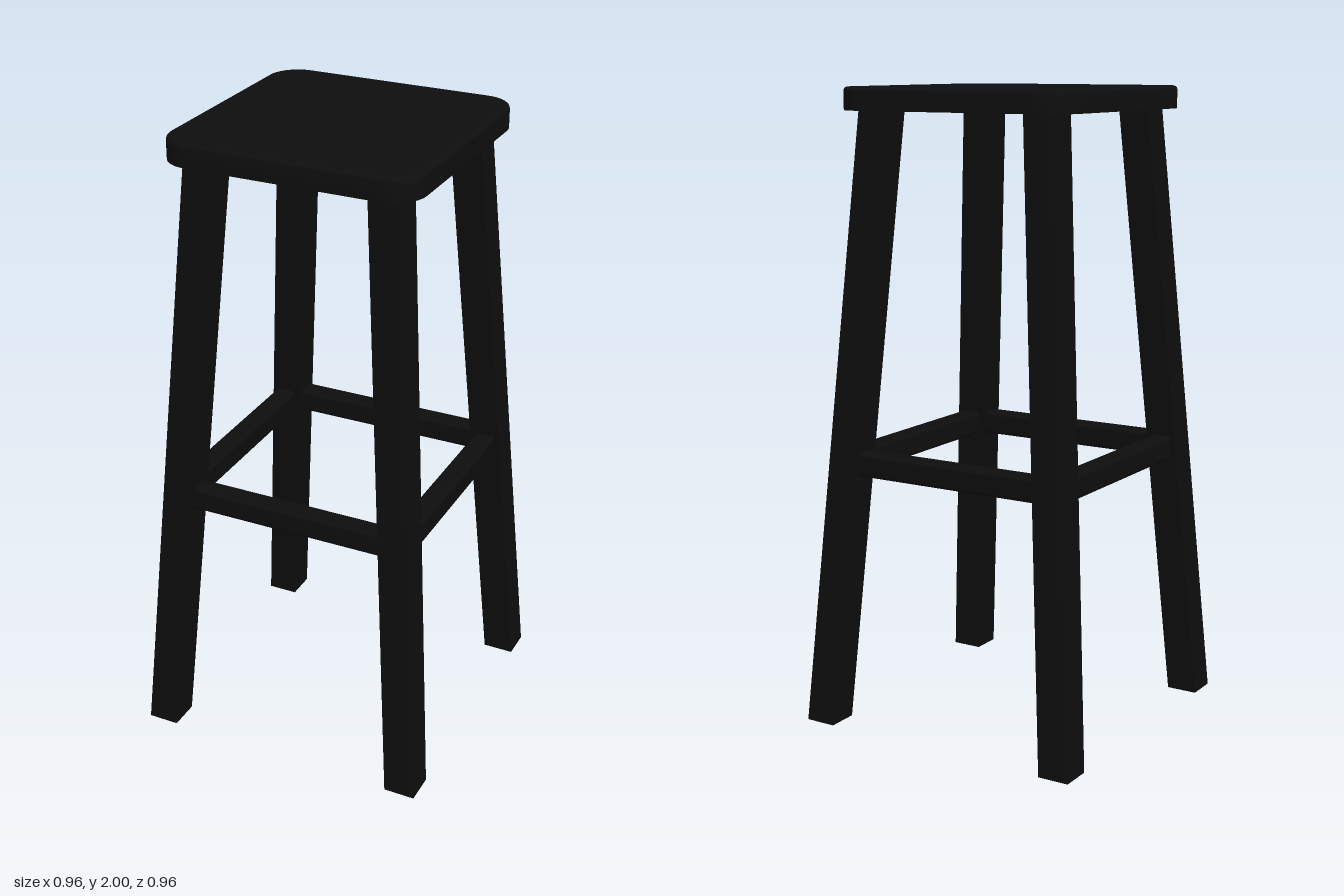
import * as THREE from 'three';
import { toCreasedNormals } from 'three/addons/utils/BufferGeometryUtils.js';
import { RoundedBoxGeometry } from 'three/addons/geometries/RoundedBoxGeometry.js';

const SEAT_BOTTOM = 1.93;
const FOOT = 0.43; // leg centre at the floor
const SLOPE = 0.14 / SEAT_BOTTOM; // inward lean per unit of height

// Square seat with round corners and a softened upper rim
function seatGeometry() {
  const bevel = 0.012, h = 0.4 - bevel, r = 0.1 - bevel;
  const s = new THREE.Shape();
  s.absarc(h - r, h - r, r, 0, Math.PI / 2);
  s.absarc(-h + r, h - r, r, Math.PI / 2, Math.PI);
  s.absarc(-h + r, -h + r, r, Math.PI, Math.PI * 1.5);
  s.absarc(h - r, -h + r, r, Math.PI * 1.5, Math.PI * 2);
  s.closePath();
  const g = new THREE.ExtrudeGeometry(s, {
    depth: 2 - bevel - SEAT_BOTTOM, bevelEnabled: true,
    bevelSize: bevel, bevelThickness: bevel, bevelSegments: 3, curveSegments: 10,
  });
  g.rotateX(-Math.PI / 2).translate(0, SEAT_BOTTOM, 0);
  // flatten the lower bevel into a crisp underside
  const p = g.attributes.position;
  for (let i = 0; i < p.count; i++) p.setY(i, Math.max(SEAT_BOTTOM, p.getY(i)));
  return toCreasedNormals(g, 0.7);
}

// Square leg sheared outwards towards the floor, with level ends
function legGeometry(sx, sz) {
  const height = SEAT_BOTTOM + 0.01;
  const g = new THREE.BoxGeometry(0.1, height, 0.1).translate(0, height / 2, 0);
  const p = g.attributes.position;
  for (let i = 0; i < p.count; i++) {
    const off = FOOT - SLOPE * p.getY(i);
    p.setX(i, p.getX(i) + sx * off);
    p.setZ(i, p.getZ(i) + sz * off);
  }
  g.computeVertexNormals();
  return g;
}

export function createModel() {
  const group = new THREE.Group();
  const black = new THREE.MeshStandardMaterial({ color: 0x0e0e0e });
  black.name = 'black paint';
  const add = (name, geometry) => {
    const mesh = new THREE.Mesh(geometry, black);
    mesh.name = name;
    group.add(mesh);
    return mesh;
  };

  add('seat', seatGeometry());

  for (const sx of [-1, 1]) for (const sz of [-1, 1]) {
    add(`${sz > 0 ? 'front' : 'back'}${sx > 0 ? 'Left' : 'Right'}Leg`, legGeometry(sx, sz));
  }

  // Four foot rails joining the legs
  const railY = 0.845, railOffset = FOOT - SLOPE * railY;
  const rail = new RoundedBoxGeometry(railOffset * 2, 0.075, 0.07, 3, 0.012);
  ['front', 'left', 'back', 'right'].forEach((side, i) => {
    const a = i * Math.PI / 2;
    const mesh = add(`${side}Rail`, rail);
    mesh.position.set(Math.sin(a) * railOffset, railY, Math.cos(a) * railOffset);
    mesh.rotation.y = a;
  });

  return group;
}
